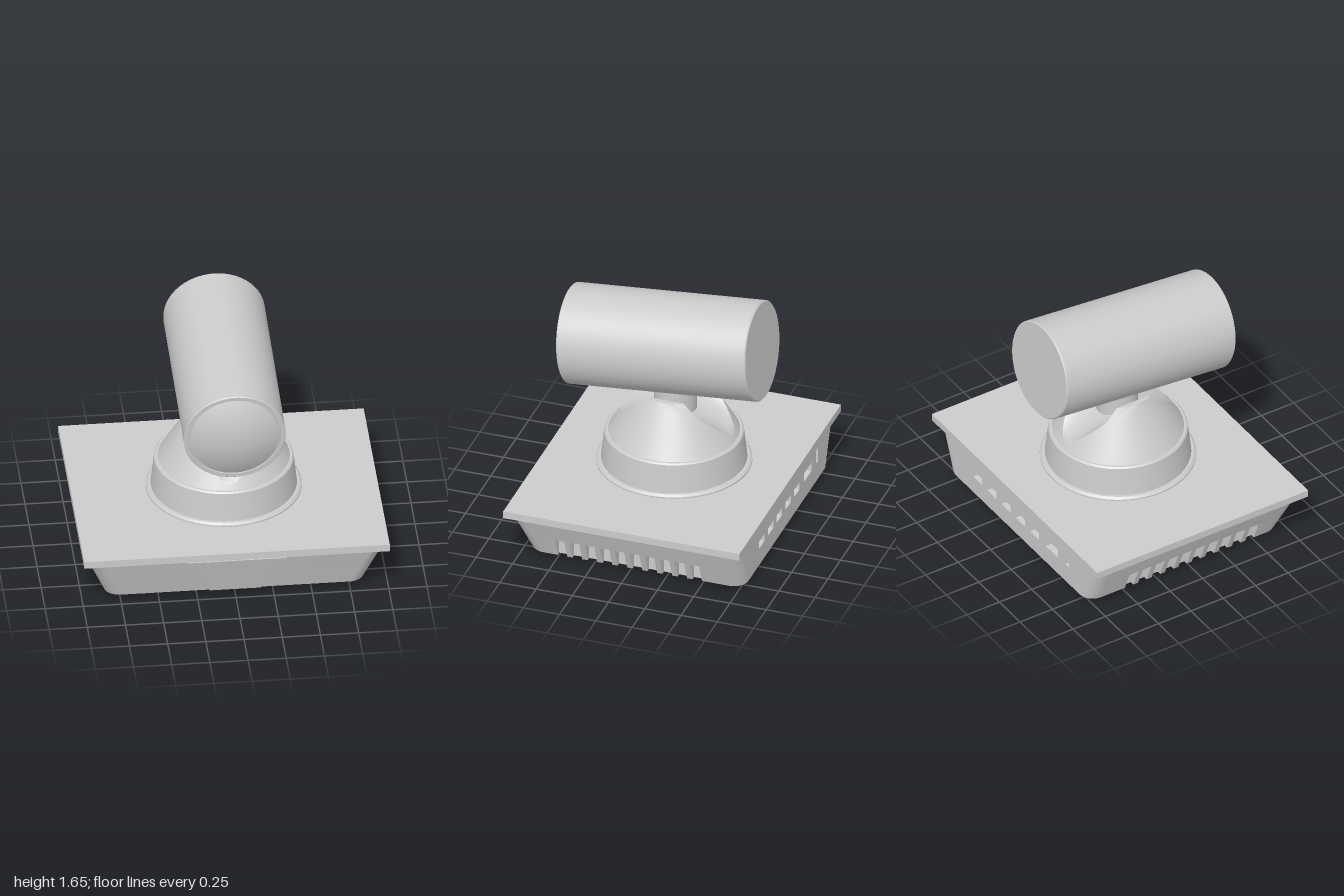
import * as THREE from 'three';
import { toCreasedNormals } from 'three/addons/utils/BufferGeometryUtils.js';

const grey = new THREE.MeshStandardMaterial({ color: 0xcccccc });
const V2 = (pts) => pts.map(([x, y]) => new THREE.Vector2(x, y));

function add(parent, name, geometry, x = 0, y = 0, z = 0) {
  const mesh = new THREE.Mesh(geometry, grey);
  mesh.name = name;
  mesh.position.set(x, y, z);
  parent.add(mesh);
  return mesh;
}

// Skin over rows of [x, y, z] points
function skin(rows) {
  const n = rows[0].length, index = [];
  for (let r = 0; r < rows.length - 1; r++)
    for (let i = 0; i < n - 1; i++) {
      const a = r * n + i, b = a + 1, c = a + n, d = c + 1;
      index.push(a, c, b, b, c, d);
    }
  const g = new THREE.BufferGeometry();
  g.setAttribute('position', new THREE.Float32BufferAttribute(rows.flat(2), 3));
  g.setIndex(index);
  return toCreasedNormals(g, 0.5);
}

const lathe = (pts, seg = 64) => toCreasedNormals(new THREE.LatheGeometry(V2(pts), seg), 0.5);

// Base housing: sloped front and sides, upright back, round corners
const Y0 = 0.035, Y1 = 0.335, SLOT_TOP = 0.18, BACK = -0.79, R = 0.1;
const halfWidth = (y) => 0.85 + 0.4 * (y - Y0);
const frontZ = (y) => 0.69 + (y - Y0) / 3;

function outline(y, slots) {
  const w = halfWidth(y), f = frontZ(y), half = [];
  for (let i = 0; i <= 8; i++) {
    const a = (i / 8) * Math.PI / 2;
    half.push([w - R + R * Math.sin(a), y, BACK + R - R * Math.cos(a)]);
  }
  if (slots)
    for (let k = 0; k < 10; k++) {
      const z = -0.472 + k * 0.1033, h = 0.033, inner = 0.82;
      half.push([w, y, z - h], [inner, y, z - h], [inner, y, z + h], [w, y, z + h]);
    }
  for (let i = 0; i <= 8; i++) {
    const a = (i / 8) * Math.PI / 2;
    half.push([w - R + R * Math.cos(a), y, f - R + R * Math.sin(a)]);
  }
  return [...half, ...half.map(([x, yy, z]) => [-x, yy, z]).reverse()];
}

function downFace(points) {
  const g = new THREE.ShapeGeometry(new THREE.Shape(V2(points.map((p) => [p[0], p[2]]))));
  return g.rotateX(Math.PI / 2).translate(0, points[0][1], 0);
}

function buildBase() {
  const base = new THREE.Group();
  base.name = 'base';
  add(base, 'topPlate', new THREE.BoxGeometry(2, 0.05, 1.63), 0, 0.36, 0);
  add(base, 'ventedWall', skin([outline(Y0, true), outline(SLOT_TOP, true)]));
  add(base, 'upperWall', skin([outline(SLOT_TOP, false), outline(Y1, false)]));
  add(base, 'underside', downFace(outline(Y0, true)));
  add(base, 'ventCeiling', downFace(outline(SLOT_TOP, false)));

  // Back panel with port openings: [x centre, y centre, width, height]
  const b = halfWidth(Y0) - R, t = halfWidth(Y1) - R;
  const panel = new THREE.Shape(V2([[-b, Y0], [b, Y0], [t, Y1], [-t, Y1]]));
  const ports = [[-0.415, 0.198, 0.15, 0.065], [-0.6, 0.22, 0.045, 0.095]];
  for (let i = 0; i < 5; i++) ports.push([0.485 - i * 0.172, 0.188, 0.11, 0.055]);
  for (const [x, y, w, h] of ports)
    panel.holes.push(new THREE.Path(V2([
      [x - w / 2, y - h / 2], [x - w / 2, y + h / 2], [x + w / 2, y + h / 2], [x + w / 2, y - h / 2],
    ])));
  add(base, 'portPanel', new THREE.ExtrudeGeometry(panel, { depth: 0.05, bevelEnabled: false }), 0, 0, BACK);
  add(base, 'portBacking', new THREE.BoxGeometry(1.4, 0.2, 0.02), 0, 0.2, BACK + 0.055);

  // Front cover leaning with the sloped front
  const cover = new THREE.ExtrudeGeometry(
    new THREE.Shape(V2([[-0.165, 0.045], [0.165, 0.045], [0.325, 0.325], [-0.325, 0.325]])),
    { depth: 0.04, bevelEnabled: false });
  const p = cover.attributes.position;
  for (let i = 0; i < p.count; i++) p.setZ(i, p.getZ(i) + frontZ(p.getY(i)) - 0.018);
  cover.computeVertexNormals();
  add(base, 'frontCover', cover);

  for (const x of [-0.675, 0.675])
    for (const z of [0.505, -0.545])
      add(base, 'foot', new THREE.CylinderGeometry(0.07, 0.07, 0.04, 32), x, 0.02, z);
  return base;
}

// Cone with a rounded saddle channel running front to back
function saddleCone() {
  const RB = 0.43, RT = 0.235, YB = 0.615, YT = 0.94, C = 0.195;
  const cone = (x, z) => YB + (RB - Math.hypot(x, z)) * (YT - YB) / (RB - RT);
  const floor = (x, z) => {
    const low = 0.81 - 0.16 * (z / 0.41) ** 2;
    return low + (0.87 - low) * (1 - Math.sqrt(Math.max(0, 1 - (x / C) ** 2)));
  };
  const slice = (x, inside) => {
    const cut = inside ? (z) => floor(x, z) : () => YT;
    const zm = Math.sqrt(Math.max(0, RB * RB - x * x));
    // z where the cone meets the cut
    let lo = 0, hi = zm;
    for (let i = 0; i < 40; i++) {
      const m = (lo + hi) / 2;
      if (cone(x, m) > cut(m)) lo = m; else hi = m;
    }
    const side = [], middle = [];
    for (let i = 0; i <= 14; i++) {
      const z = zm + (lo - zm) * i / 14;
      side.push([x, cone(x, z), z]);
    }
    for (let i = 1; i < 24; i++) {
      const z = lo * (i / 12 - 1);
      middle.push([x, Math.min(cut(z), cone(x, z)), z]);
    }
    return [...side.map(([a, y, z]) => [a, y, -z]), ...middle, ...side.reverse()];
  };
  const outer = [], inner = [];
  for (let i = 0; i <= 14; i++)
    outer.push(RT + (RB - RT) * Math.cos((i / 14) * Math.PI / 2));
  outer.push(0.225, 0.21, C);
  for (let i = 0; i <= 28; i++) inner.push(C * Math.cos((i / 28) * Math.PI));
  return skin([
    ...outer.map((x) => slice(x, false)),
    ...inner.map((x) => slice(x, true)),
    ...outer.reverse().map((x) => slice(-x, false)),
  ]);
}

function buildTurntable() {
  const table = new THREE.Group();
  table.name = 'turntable';
  table.position.z = -0.015;
  add(table, 'ring', lathe([[0.51, 0.38], [0.51, 0.395], [0.495, 0.408], [0.46, 0.408]]));
  add(table, 'drum', lathe([[0.478, 0.4], [0.455, 0.605], [0.445, 0.615], [0.42, 0.615]]));
  add(table, 'saddleCone', saddleCone());
  add(table, 'neck', new THREE.CylinderGeometry(0.14, 0.14, 0.28, 48), 0, 0.88, -0.01);
  return table;
}

function buildCameraHead() {
  const head = new THREE.Group();
  head.name = 'cameraHead';
  head.position.set(0, 1.2625, 0.029);
  head.rotation.x = 0.0916;
  add(head, 'barrel', lathe([
    [0, -0.655], [0.325, -0.655], [0.333, -0.647], [0.333, 0.65], [0.328, 0.655],
    [0.302, 0.655], [0.302, 0.63], [0.28, 0.63],
  ], 80).rotateX(Math.PI / 2));
  // Domed lens
  const dome = [[0.294, 0.625]];
  for (let i = 0; i <= 12; i++) {
    const r = 0.294 * (1 - i / 12);
    dome.push([r, 0.655 + 0.075 * (1 - (r / 0.294) ** 2)]);
  }
  add(head, 'lens', lathe(dome, 64).rotateX(Math.PI / 2));
  return head;
}

export function createModel() {
  const model = new THREE.Group();
  model.name = 'conferenceCamera';
  model.add(buildBase(), buildTurntable(), buildCameraHead());
  return model;
}
